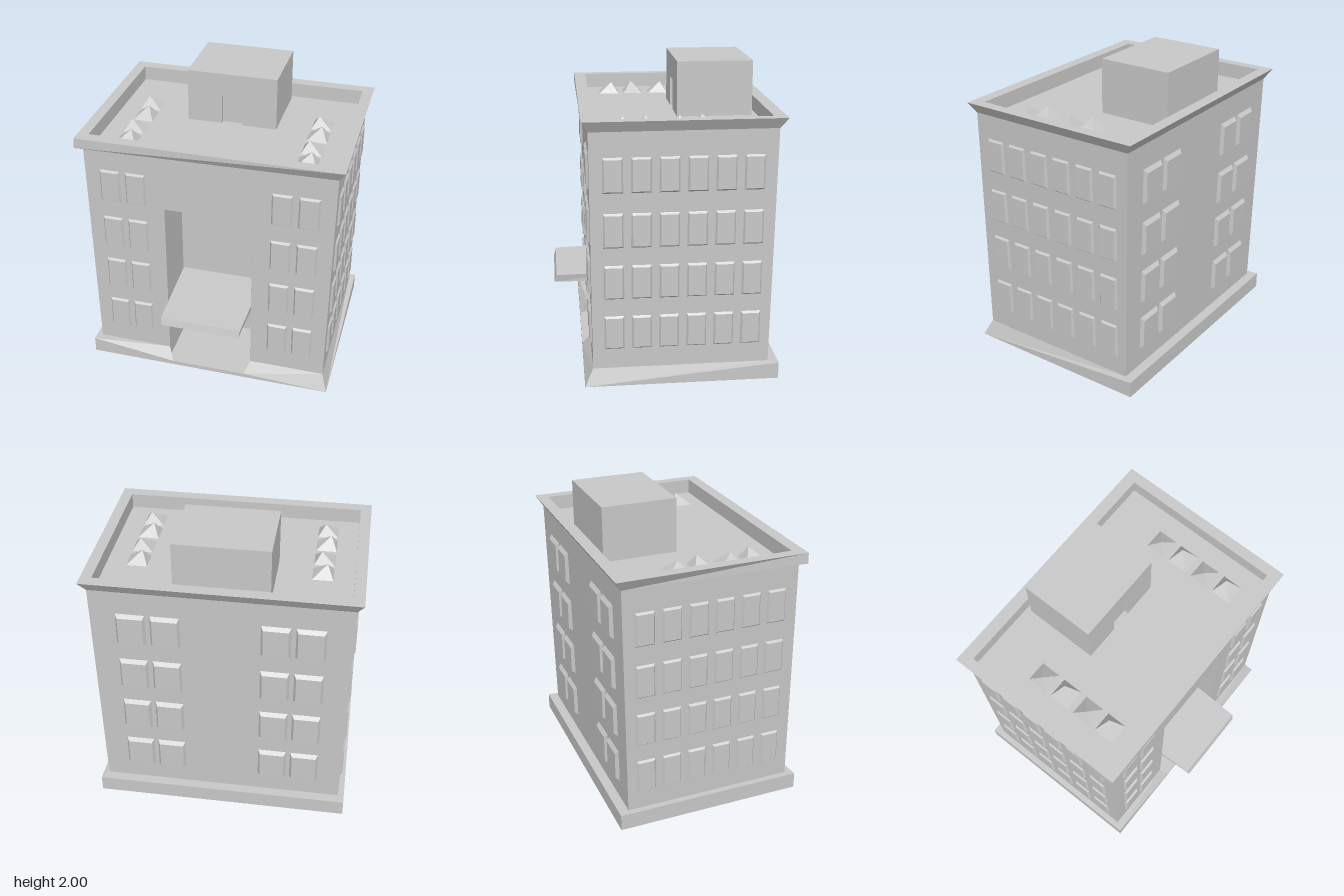
import * as THREE from 'three';

const stone = new THREE.MeshStandardMaterial({ color: 0xc8c8c8, side: THREE.DoubleSide });
stone.name = 'pale grey stone';

// Flat-shaded mesh from a list of convex faces, each a loop of [x, y, z] corners
function facets(name, faces) {
  const pos = [];
  for (const f of faces)
    for (let i = 1; i < f.length - 1; i++) pos.push(...f[0], ...f[i], ...f[i + 1]);
  const g = new THREE.BufferGeometry();
  g.setAttribute('position', new THREE.Float32BufferAttribute(pos, 3));
  g.computeVertexNormals();
  const m = new THREE.Mesh(g, stone);
  m.name = name;
  return m;
}

// Four corners at height y, in the order front left, front right, back right, back left
const rect = (y, x, front, back) => [[-x, y, front], [x, y, front], [x, y, back], [-x, y, back]];
// Quads joining two loops of four corners
const band = (a, b) => a.map((p, i) => [p, a[(i + 1) % 4], b[(i + 1) % 4], b[i]]);
const flip = (face) => face.map(([x, y, z]) => [-x, y, z]).reverse();
const mirror = (faces) => [...faces, ...faces.map(flip)];

// Slightly flared wall surfaces
const FOOT = 0.11, EAVE = 1.67, ROOF = 1.64, TOP = 1.74;
const rise = (y) => (y - FOOT) / (EAVE - FOOT);
const sideX = (y) => 0.81 + 0.02 * rise(y);
const frontZ = (y) => 0.485 + 0.005 * rise(y);
const backZ = (y) => -0.655 - 0.02 * rise(y);
const wallRing = (y) => rect(y, sideX(y), frontZ(y), backZ(y));

// Entrance bay
const BAY = 0.295, BAY_TOP = 1.275, BAY_Z = 0.13, FLOOR = 0.03;

function walls() {
  const f = (x, y) => [x, y, frontZ(y)];
  const shell = band(wallRing(FOOT), wallRing(EAVE)).slice(1);
  const half = [
    [f(BAY, FOOT), f(sideX(FOOT), FOOT), f(sideX(EAVE), EAVE), f(BAY, EAVE)],
    [f(0, BAY_TOP), f(BAY, BAY_TOP), f(BAY, EAVE), f(0, EAVE)],
  ];
  return facets('walls', [...shell, ...mirror(half)]);
}

function entranceBay() {
  const z = BAY_Z, zf = 0.487, d = 0.05;
  const outer = [[0, FLOOR, z], [0.26, FLOOR, z], [0.26, 0.5, z], [0, 0.5, z]];
  const inner = [[0.03, FLOOR, d], [0.22, FLOOR, d], [0.235, 0.43, d], [0.015, 0.43, d]];
  return facets('entranceBay', mirror([
    [[BAY, FLOOR, z], [BAY, FLOOR, zf], [BAY, BAY_TOP, 0.489], [BAY, BAY_TOP, z]],
    [[0, BAY_TOP, z], [BAY, BAY_TOP, z], [BAY, BAY_TOP, 0.489], [0, BAY_TOP, 0.489]],
    [[0, 0.5, z], [BAY, 0.5, z], [BAY, BAY_TOP, z], [0, BAY_TOP, z]],
    [[0.26, FLOOR, z], [BAY, FLOOR, z], [BAY, 0.5, z], [0.26, 0.5, z]],
    [[0, FLOOR, 0.54], [0.26, FLOOR, 0.54], [BAY, FLOOR, zf], [BAY, FLOOR, d], [0, FLOOR, d]],
    // funnel-shaped doorway and its door
    ...band(outer, inner), inner,
  ]));
}

// Plinth: square on the left and back, sloping on the right
function plinth() {
  const [bFL, bFR, bBR, bBL] = wallRing(FOOT);
  const [gFL, gFR, gBR, gBL] = rect(0, 0.85, 0.54, -0.72);
  const [tFL, , tBR, tBL] = rect(FOOT, 0.85, 0.54, -0.72);
  const stepL = [-0.26, FLOOR, 0.54], stepR = [0.26, FLOOR, 0.54];
  const jambL = [-BAY, FOOT, 0.485], jambR = [BAY, FOOT, 0.485];
  return facets('plinth', [
    [gFL, gBL, gBR, gFR],
    [gFL, gFR, stepR, stepL, tFL],
    [tFL, stepL, jambL], [tFL, jambL, bFL],
    [stepR, gFR, bFR], [stepR, bFR, jambR],
    [gFR, gBR, tBR],
    [gFR, tBR, bBR], [gFR, bBR, bFR],
    [gBR, gBL, tBL, tBR], [tBR, tBL, bBL, bBR],
    [gBL, gFL, tFL, tBL], [tBL, tFL, bFL, bBL],
    [stepL, [-BAY, FLOOR, 0.485], jambL],
    [stepR, jambR, [BAY, FLOOR, 0.485]],
  ]);
}

// Cornice, flared except at the square front left corner, with parapet and roof
function cornice() {
  const neck = wallRing(EAVE);
  const low = [[-0.875, EAVE, 0.53], ...neck.slice(1)];
  const rim = rect(TOP, 0.872, 0.53, -0.72);
  const inside = rect(TOP, 0.8, 0.45, -0.64);
  const deck = rect(ROOF, 0.8, 0.45, -0.64);
  return facets('cornice', [
    ...band(neck, low).filter((_, i) => i === 0 || i === 3),
    ...band(low, rim), ...band(rim, inside), ...band(inside, deck), deck,
  ]);
}

// Bevelled window panel facing +z
function windowPanel(w, h, bevel, topBevel, depth) {
  const x = w / 2, y = h / 2, xi = x - bevel;
  const base = [[-x, -y, -0.008], [x, -y, -0.008], [x, y, -0.008], [-x, y, -0.008]];
  const face = [[-xi, bevel - y, depth], [xi, bevel - y, depth], [xi, y - topBevel, depth], [-xi, y - topBevel, depth]];
  return facets('window', [...band(base, face), face]);
}

function windows() {
  const g = new THREE.Group();
  g.name = 'windows';
  const add = (panel, x, y, z, turn) => {
    panel.position.set(x, y, z);
    panel.rotation.y = turn;
    g.add(panel);
  };
  for (const y of [0.36, 0.703, 1.045, 1.4]) {
    const spread = 0.98 + 0.02 * rise(y);
    for (const s of [-1, 1]) {
      for (const x of [0.487, 0.662])
        add(windowPanel(0.148, 0.24, 0.017, 0.017, 0.016), s * x * spread, y, frontZ(y), 0);
      for (const x of [0.35, 0.57])
        add(windowPanel(0.2, 0.24, 0.02, 0.035, 0.022), s * x * spread, y, backZ(y), Math.PI);
      for (let i = 0; i < 6; i++)
        add(windowPanel(0.14, 0.24, 0.017, 0.022, 0.014), s * sideX(y), y, 0.345 - 0.175 * i, s * Math.PI / 2);
    }
  }
  return g;
}

function canopy() {
  const low = [[-0.265, 0.5, 0.72], [0.265, 0.5, 0.72], [0.29, 0.5, BAY_Z], [-0.29, 0.5, BAY_Z]];
  const high = [[-0.275, 0.55, 0.705], [0.275, 0.55, 0.705], [0.292, 0.565, BAY_Z], [-0.292, 0.565, BAY_Z]];
  return facets('canopy', [low, ...band(low, high), high]);
}

// Stair house on the roof with a shallow doorway
function roofHouse() {
  const x = 0.305, f = -0.11, b = -0.605, d = 0.07, h = 1.84, r = -0.14;
  const low = rect(ROOF, x, f, b), high = rect(2, x, f, b);
  return facets('roofHouse', [
    ...band(low, high).slice(1), high,
    ...mirror([
      [[d, ROOF, f], [x, ROOF, f], [x, 2, f], [d, h, f]],
      [[0, h, f], [d, h, f], [x, 2, f], [0, 2, f]],
      [[d, ROOF, f], [d, h, f], [d, h, r], [d, ROOF, r]],
      [[0, h, f], [0, h, r], [d, h, r], [d, h, f]],
      [[0, ROOF, r], [d, ROOF, r], [d, h, r], [0, h, r]],
    ]),
  ]);
}

// Small angular vents with off-centre peaks
function roofVents() {
  const g = new THREE.Group();
  g.name = 'roofVents';
  for (const s of [-1, 1])
    [-0.245, -0.07, 0.11, 0.285].forEach((z, i) => {
      const base = rect(0, 0.068, 0.068, -0.068);
      const peak = [i % 2 ? 0.02 : -0.025, 0.075, i % 2 ? -0.02 : 0.01];
      const vent = facets('vent', base.map((p, k) => [p, base[(k + 1) % 4], peak]));
      vent.position.set(s * 0.598, ROOF, z);
      g.add(vent);
    });
  return g;
}

export function createModel() {
  const model = new THREE.Group();
  model.name = 'officeBuilding';
  model.add(plinth(), walls(), entranceBay(), canopy(), windows(), cornice(), roofHouse(), roofVents());
  return model;
}
